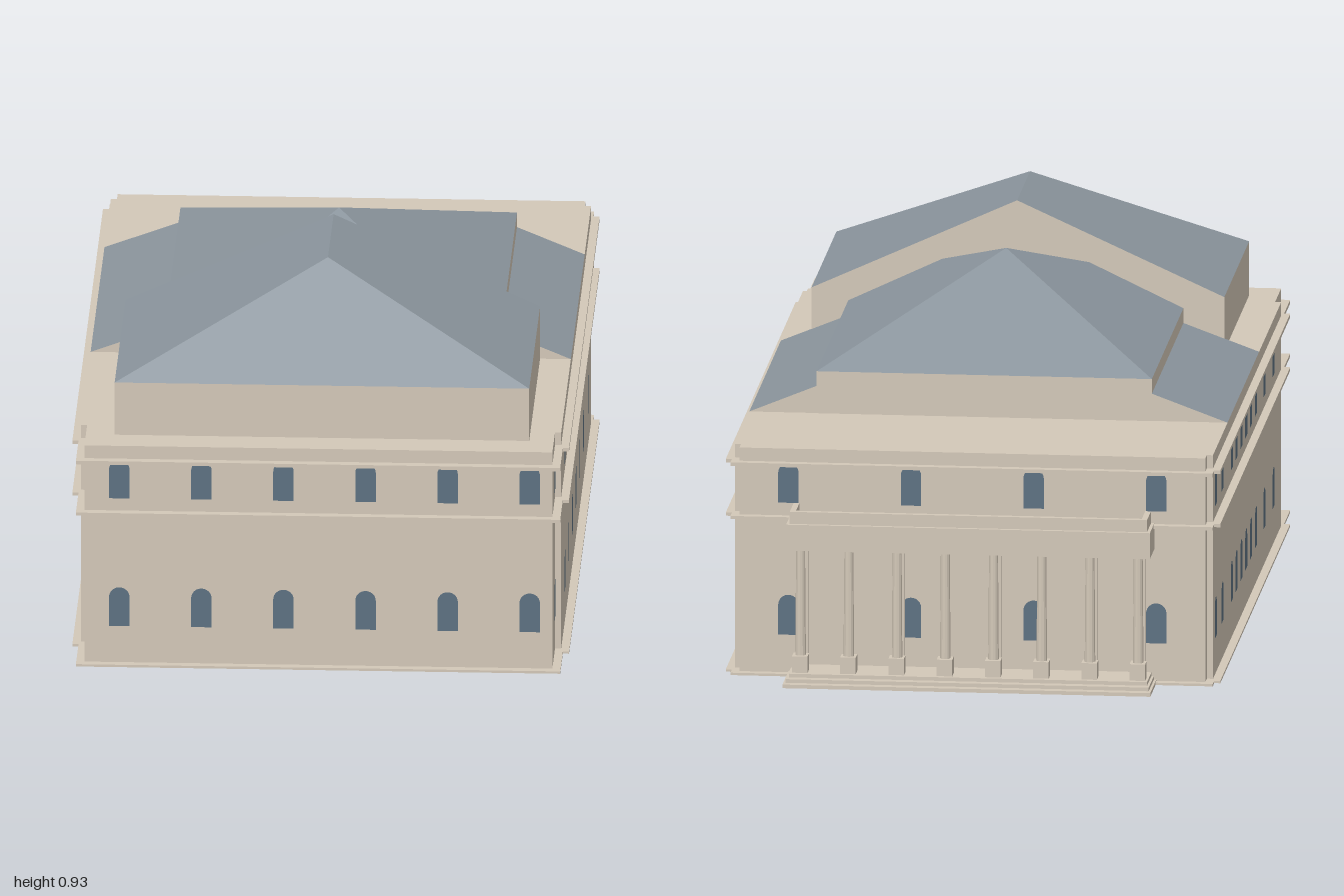
import * as THREE from 'three';

const mat = (color) => new THREE.MeshStandardMaterial({ color, flatShading: true });
const stone = mat(0xd3c8b8), slate = mat(0x8b959d), glass = mat(0x5d7182);

export function createModel() {
  const model = new THREE.Group();
  const hall = new THREE.Group();
  hall.name = 'hall';
  hall.rotation.y = 0.022; // the plan stands slightly askew
  model.add(hall);

  const add = (name, geo, material = stone, parent = hall) => {
    const m = new THREE.Mesh(geo, material);
    m.name = name;
    parent.add(m);
    return m;
  };
  // box given by its limits on each axis
  const box = (name, x0, x1, y0, y1, z0, z1, parent = hall) =>
    add(name, new THREE.BoxGeometry(x1 - x0, y1 - y0, z1 - z0), stone, parent)
      .position.set((x0 + x1) / 2, (y0 + y1) / 2, (z0 + z1) / 2);
  // flat polygons, corners counter-clockwise from outside
  const polygons = (faces) => {
    const pos = [];
    for (const f of faces)
      for (let i = 1; i < f.length - 1; i++) pos.push(...f[0], ...f[i], ...f[i + 1]);
    const g = new THREE.BufferGeometry();
    g.setAttribute('position', new THREE.Float32BufferAttribute(pos, 3));
    g.computeVertexNormals();
    return g;
  };

  // walls: a long body with slightly narrower ends, each with string courses
  const bodies = [
    ['endWalls', 0.57, -0.845, 0.965],
    ['sideWalls', 0.585, -0.81, 0.82],
  ];
  for (const [name, w, z0, z1] of bodies) {
    box(name, -w, w, 0, 0.565, z0, z1);
    for (const [n, y0, y1] of [['plinth', 0, 0.006], ['middleCornice', 0.39, 0.398], ['upperCornice', 0.523, 0.532]])
      box(n, -w - 0.02, w + 0.02, y0, y1, z0 - 0.02, z1 + 0.02);
  }

  // front block with a hipped roof and a gable at its back
  box('frontBlock', -0.5, 0.51, 0.565, 0.7, 0.29, 0.885);
  const A = [-0.5, 0.7, 0.885], B = [0.51, 0.7, 0.885], C = [0.51, 0.7, 0.29], D = [-0.5, 0.7, 0.29];
  const R1 = [0.007, 0.93, 0.6], R2 = [0.007, 0.93, 0.29];
  add('frontRoof', polygons([[A, B, R1], [B, C, R2, R1], [D, A, R1, R2]]), slate);
  add('frontGable', polygons([[C, D, R2]]));

  // low side roofs
  const low = new THREE.Shape();
  low.moveTo(-0.585, 0.565);
  low.lineTo(0.585, 0.565);
  low.lineTo(0.42, 0.633);
  low.lineTo(-0.4, 0.633);
  const lowGeo = new THREE.ExtrudeGeometry(low, { depth: 0.755, bevelEnabled: false });
  lowGeo.translate(0, 0, -0.463);
  add('lowerRoof', lowGeo, [stone, slate]);

  // pyramid roof on a low base, running into the front block
  box('pyramidBase', -0.4, 0.42, 0.565, 0.67, -0.465, 0.3);
  const P = [-0.4, 0.67, 0.585], Q = [0.42, 0.67, 0.585], S = [0.42, 0.67, -0.465], T = [-0.4, 0.67, -0.465];
  const apex = [0.01, 0.865, 0.06];
  add('pyramidRoof', polygons([[P, Q, apex], [Q, S, apex], [S, T, apex], [T, P, apex]]), slate);

  // arched windows
  const windowGeo = (w, h) => {
    const s = new THREE.Shape(), r = w / 2;
    s.moveTo(-r, 0);
    s.lineTo(r, 0);
    s.lineTo(r, h - r);
    s.absarc(0, h - r, r, 0, Math.PI, false);
    s.lineTo(-r, 0);
    return new THREE.ShapeGeometry(s, 6);
  };
  const narrow = windowGeo(0.05, 0.1), wide = windowGeo(0.065, 0.1);
  const windowPair = (x, z, turn, geo = narrow) => {
    for (const y of [0.1, 0.43]) {
      const m = add('window', geo, glass);
      m.position.set(x, y, z);
      m.rotation.y = turn;
    }
  };
  const sideX = (z) => (z > 0.82 || z < -0.81 ? 0.572 : 0.587);
  for (let i = 0; i < 6; i++) windowPair(0.015 + (i - 2.5) * 0.2, 0.967, 0);
  for (let i = 0; i < 4; i++) windowPair((i - 1.5) * 0.3, -0.847, Math.PI);
  for (const z of [0.89, 0.65, 0.45, 0.25, 0.05, -0.15, -0.355, -0.61])
    windowPair(sideX(z), z === 0.89 ? 0.862 : z, Math.PI / 2, z === 0.25 ? wide : narrow);
  for (const z of [0.87, 0.62, 0.4, 0.2, 0.08, -0.035, -0.15, -0.265, -0.38, -0.6, -0.76])
    windowPair(-sideX(z), z, -Math.PI / 2);

  // portico at the back: steps, columns, entablature and parapet
  const portico = new THREE.Group();
  portico.name = 'portico';
  hall.add(portico);
  for (let i = 0; i < 3; i++)
    box('step', -0.45 + i * 0.006, 0.45 - i * 0.006, i * 0.009, (i + 1) * 0.009, -0.99 + i * 0.02, -0.84, portico);
  const columnGeo = new THREE.CylinderGeometry(0.011, 0.013, 0.27, 12);
  for (let i = 0; i < 8; i++) {
    const x = (i - 3.5) * 0.118;
    box('pedestal', x - 0.019, x + 0.019, 0.02, 0.068, -0.938, -0.9, portico);
    add('column', columnGeo, stone, portico).position.set(x, 0.202, -0.917);
    box('pilaster', x - 0.012, x + 0.012, 0.02, 0.336, -0.855, -0.84, portico);
  }
  box('entablature', -0.445, 0.445, 0.335, 0.4, -0.952, -0.84, portico);
  box('parapetBack', -0.437, 0.437, 0.4, 0.43, -0.942, -0.928, portico);
  for (const s of [-1, 1])
    box('parapetSide', s * 0.43 - 0.007, s * 0.43 + 0.007, 0.4, 0.43, -0.928, -0.84, portico);

  return model;
}
